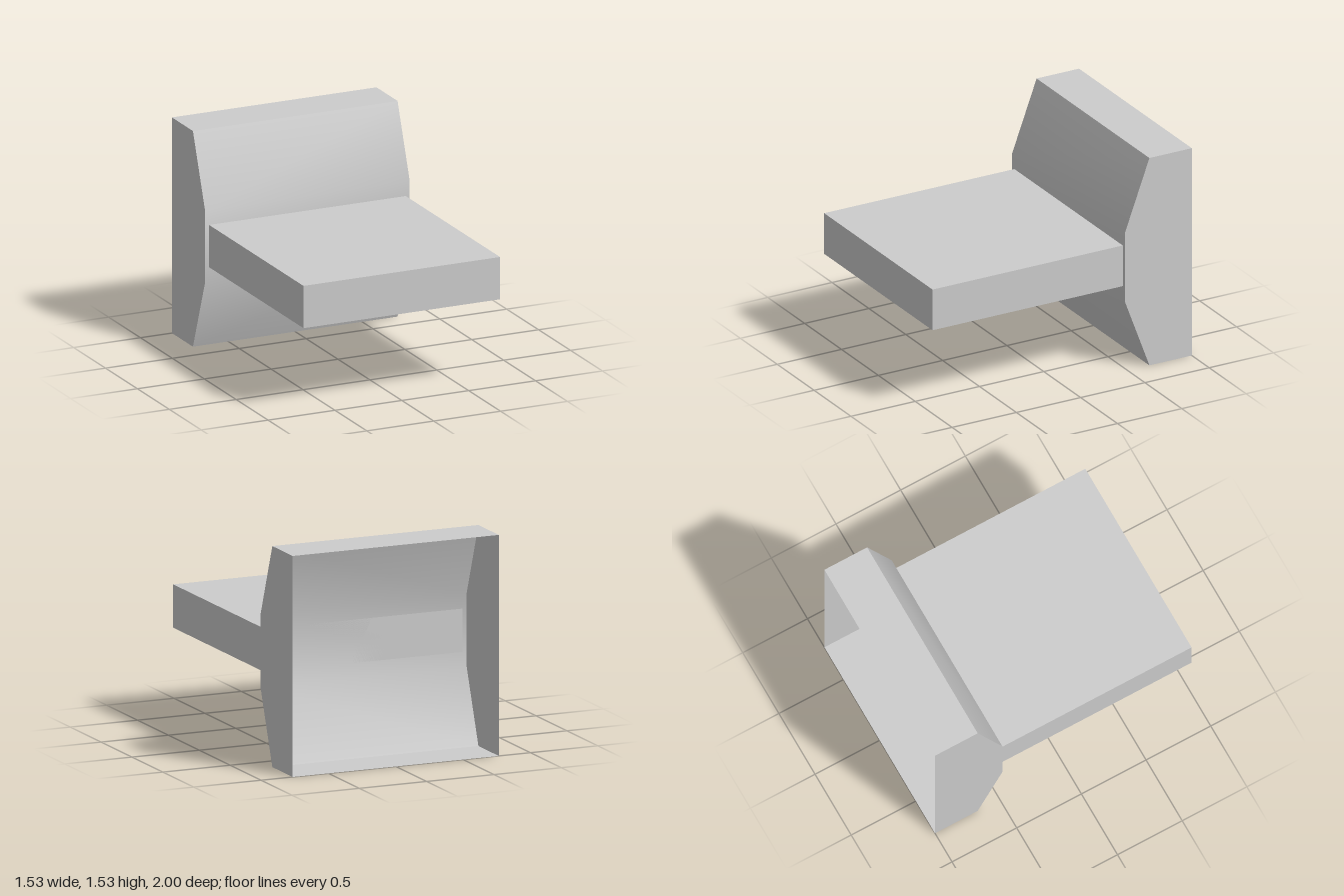
import * as THREE from 'three';

const HALF_WIDTH = 0.765, HEIGHT = 1.53, BACK = -1, SHOULDER = -0.67, FRONT = -0.48;

// Front curve of the shell, bottom to top, as [y, z]
const FACE = [[0, SHOULDER], [0.51, FRONT], [1.02, FRONT], [HEIGHT, SHOULDER]];

// Sweeps a [y, z] line across the full width; shared vertices keep it smooth
function panel(points) {
  const positions = [], index = [];
  points.forEach(([y, z], i) => {
    positions.push(-HALF_WIDTH, y, z, HALF_WIDTH, y, z);
    if (i > 0) {
      const a = 2 * (i - 1);
      index.push(a, a + 1, a + 3, a, a + 3, a + 2);
    }
  });
  const geometry = new THREE.BufferGeometry();
  geometry.setAttribute('position', new THREE.Float32BufferAttribute(positions, 3));
  geometry.setIndex(index);
  geometry.computeVertexNormals();
  return geometry;
}

export function createModel() {
  const model = new THREE.Group();
  const grey = new THREE.MeshStandardMaterial({ color: 0xcccccc, side: THREE.DoubleSide });
  grey.name = 'light grey';

  const add = (name, geometry, parent) => {
    const mesh = new THREE.Mesh(geometry, grey);
    mesh.name = name;
    parent.add(mesh);
    return mesh;
  };

  // Thin shell, open at the back
  const shell = new THREE.Group();
  shell.name = 'shell';
  model.add(shell);
  add('frontFace', panel(FACE), shell);
  add('topWall', panel([[HEIGHT, SHOULDER], [HEIGHT, BACK]]), shell);
  add('bottomWall', panel([[0, BACK], [0, SHOULDER]]), shell);

  // Side walls: the profile drawn with shape x = -z, turned to face +x
  const outline = [[0, BACK], ...FACE, [HEIGHT, BACK]];
  const profile = new THREE.Shape(outline.map(([y, z]) => new THREE.Vector2(-z, y)));
  for (const side of [1, -1]) {
    const wall = new THREE.ShapeGeometry(profile).rotateY(Math.PI / 2);
    if (side < 0) {
      // Reverse the corners so the right wall faces outwards
      wall.setIndex(Array.from(wall.index.array).reverse());
      wall.computeVertexNormals();
    }
    add(side > 0 ? 'leftWall' : 'rightWall', wall, shell).position.x = side * HALF_WIDTH;
  }

  // Flat slab reaching forward from the shell
  const slab = add('slab', new THREE.BoxGeometry(1.47, 0.3, 1 - FRONT), model);
  slab.position.set(0, 0.765, (1 + FRONT) / 2);

  return model;
}
